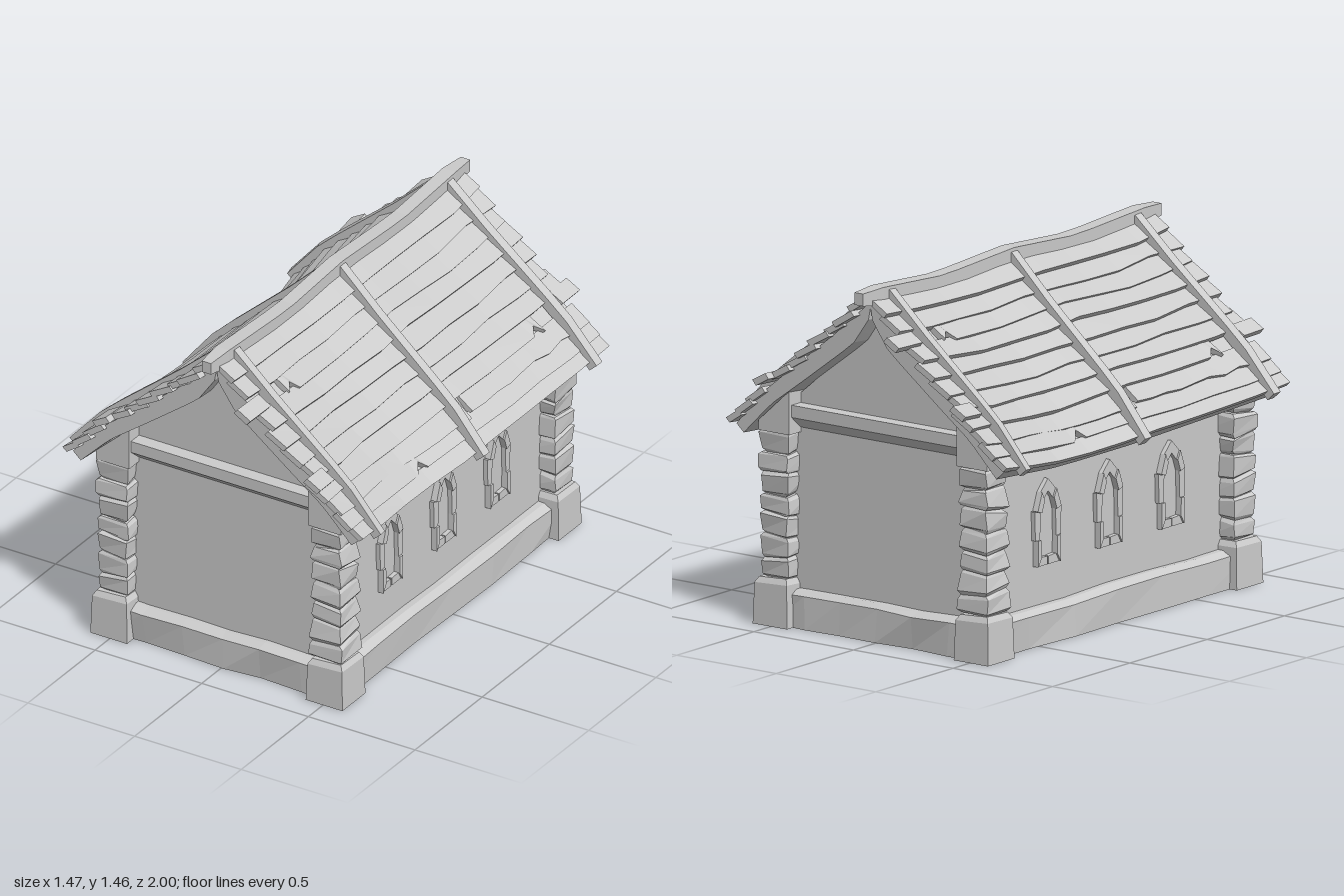
import * as THREE from 'three';

const mat = new THREE.MeshStandardMaterial({ color: 0xcccccc, flatShading: true });

// Seeded noise in -1..1, equal for equal inputs
const noise = (a, b = 0, c = 0) => {
  const s = Math.sin(a * 127.1 + b * 311.7 + c * 74.7 + 3.3) * 43758.5453;
  return (s - Math.floor(s)) * 2 - 1;
};
const { lerp, clamp } = THREE.MathUtils;

function mesh(parent, name, geometry) {
  const m = new THREE.Mesh(geometry, mat);
  m.name = name;
  parent.add(m);
}

// Unit box whose vertices are moved by rule(x, y, z) -> [x, y, z], inputs in -0.5..0.5
function shapedBox(nx, ny, nz, rule) {
  const g = new THREE.BoxGeometry(1, 1, 1, nx, ny, nz);
  const p = g.attributes.position;
  for (let i = 0; i < p.count; i++) p.setXYZ(i, ...rule(p.getX(i), p.getY(i), p.getZ(i)));
  g.computeVertexNormals();
  return g;
}

function extrude(points, depth, z) {
  const shape = new THREE.Shape(points.map(([x, y]) => new THREE.Vector2(x, y)));
  return new THREE.ExtrudeGeometry(shape, { depth, bevelEnabled: false }).translate(0, 0, z);
}

// Piecewise linear lookup; each row is [key, ...values]
function sample(rows, t) {
  let i = 0;
  while (i < rows.length - 2 && t > rows[i + 1][0]) i++;
  const a = rows[i], b = rows[i + 1], k = (t - a[0]) / (b[0] - a[0]);
  return a.slice(1).map((v, j) => lerp(v, b[j + 1], k));
}

// Slope from ridge (u = 0) to eave (u = 1)
const slope = [[0, 0, 1.41], [0.27, 0.19, 1.245], [0.54, 0.39, 1.085], [0.75, 0.545, 0.96], [1, 0.685, 0.805]];
// Sag along z: ridge dy, eave dx, eave dy
const sag = [[-0.93, 0, 0, 0], [-0.45, -0.03, -0.025, -0.025], [0, -0.005, -0.03, -0.04],
  [0.4, -0.03, -0.08, -0.06], [0.93, 0, 0, 0]];
// Thickness of the layer beneath the boards
const underlay = [[0, 0.04], [0.2, 0.085], [0.54, 0.075], [1, 0.055]];

// Point on one roof slope at height h above its surface
function roofPoint(u, h, z) {
  const [x, y] = sample(slope, u);
  const a = sample(slope, Math.max(u - 0.08, 0)), b = sample(slope, Math.min(u + 0.08, 1));
  const dx = b[0] - a[0], dy = b[1] - a[1], l = Math.hypot(dx, dy);
  const [ry, ex, ey] = sample(sag, clamp(z, -0.93, 0.93));
  return [Math.max(0, x - (dy / l) * h + ex * u), y + (dx / l) * h + lerp(ry, ey, u), z];
}

// Board on the roof; an optional notch is cut in its lower edge at z = chip
function plank(i, u0, u1, z0, z1, chip) {
  const n = 9, k = chip === undefined ? -9 : Math.round(((chip - z0) / (z1 - z0)) * n);
  const lift = 0.008 * noise(i, 5);
  return shapedBox(1, 1, n, (a, b, c) => {
    const j = Math.round((c + 0.5) * n);
    let z = lerp(z0, z1, c + 0.5);
    let u = a < 0 ? u0 : u1 + 0.01 * noise(i, j);
    if (Math.abs(j - k) <= 1) {
      z = chip + (j - k) * 0.035;
      if (j === k && a > 0) u -= 0.045;
    }
    const h = (a < 0 ? -0.004 : 0.014) + (b < 0 ? -0.012 : 0.014) + lift;
    return roofPoint(u, h, z);
  });
}

function halfRoof() {
  const g = new THREE.Group();
  g.name = 'roofSlope';
  // Thick underlay that shows as the gable edge and soffit
  mesh(g, 'roofUnderlay', shapedBox(15, 1, 12, (a, b, c) =>
    roofPoint((a + 0.5) * 0.99, b < 0 ? -sample(underlay, a + 0.5)[0] : -0.006, c * 1.78)));
  const count = 11;
  const front = [0.91, 0.9, 0.92, 0.91, 0.93, 0.92, 0.9, 0.95, 0.92, 0.93, 0.91];
  const back = [-0.92, -0.93, -0.91, -0.92, -0.92, -0.9, -0.92, -0.94, -0.91, -0.92, -0.92];
  const chips = { 2: 0.64, 7: -0.65, 9: 0.3 };
  for (let i = 0; i < count; i++) {
    const u0 = i / count, u1 = Math.min((i + 1.2) / count, 1);
    // One course is made of two shorter boards
    if (i === 8) {
      mesh(g, 'roofPlank', plank(i, u0, u1, back[i], -0.09));
      mesh(g, 'roofPlank', plank(i + 20, u0, u1 + 0.012, -0.07, front[i]));
    } else {
      mesh(g, 'roofPlank', plank(i, u0, u1, back[i], front[i], chips[i]));
    }
  }
  // Short loose boards poking out at the gable ends
  for (const [u, z0, z1] of [[0.25, 0.84, 1], [0.66, 0.84, 0.96], [0.67, -0.96, -0.84]]) {
    mesh(g, 'looseBoard', shapedBox(1, 1, 1, (a, b, c) =>
      roofPoint(u + a * 0.075, 0.02 + b * 0.028 + a * 0.012, lerp(z0, z1, c + 0.5))));
  }
  // Battens holding the boards down
  for (const z of [-0.8, 0, 0.79]) {
    mesh(g, 'roofBatten', shapedBox(8, 1, 1, (a, b, c) =>
      roofPoint((a + 0.5) * 1.03, b < 0 ? 0.005 : 0.05, z + c * 0.04)));
  }
  return g;
}

function cornerPillar(seed, side) {
  const g = new THREE.Group();
  g.name = 'cornerPillar';
  // Footing with a chamfered, uneven top
  mesh(g, 'pillarFooting', shapedBox(1, 2, 1, (x, y, z) => {
    const row = Math.round((y + 0.5) * 2), w = [0.172, 0.162, 0.135][row];
    const dy = row ? 0.01 * noise(x, z, seed) : 0;
    return [0.505 + x * w, [0, 0.172, 0.195][row] + dy, side * 0.805 + z * w];
  }));
  // Stack of rough, slanted stones
  const n = 7, step = 0.6 / n;
  for (let i = 0; i < n; i++) {
    mesh(g, 'pillarStone', shapedBox(1, 3, 1, (x, y, z) => {
      const row = Math.round((y + 0.5) * 3), outer = row === 0 || row === 3;
      const w = (outer ? 0.116 : 0.136) + 0.015 * noise(i, row > 1 ? 1 : 0, seed);
      const q = (s) => 0.006 * noise(x + i * 3, z + row * 2, seed + s);
      // Both faces of a joint tilt the same way
      const joint = i + (row > 1 ? 1 : 0);
      const tilt = joint % n ? 0.14 * (x * noise(joint, seed, 7) + z * noise(joint, seed, 8)) * 0.12 : 0;
      return [0.5 + x * w + q(1), 0.193 + step * (i + [0, 0.14, 0.84, 1][row]) + tilt + (outer ? 0 : q(3)),
        side * 0.8 + z * w + q(2)];
    }));
  }
  // Head block running up into the roof
  mesh(g, 'pillarHead', extrude([[0.42, 0.79], [0.575, 0.79], [0.575, 0.83], [0.42, 0.97]], 0.16, side * 0.795 - 0.08));
  return g;
}

function archedWindow() {
  const g = new THREE.Group();
  g.name = 'window';
  // Pairs of outer and inner points up one side of the frame
  const rim = [[[0, 0.312], [0, 0.345]], [[0.072, 0.312], [0.05, 0.348]], [[0.072, 0.42], [0.052, 0.42]],
    [[0.076, 0.54], [0.048, 0.53]], [[0.048, 0.615], [0.03, 0.58]], [[0, 0.663], [0, 0.612]]];
  for (const s of [-1, 1]) {
    for (let i = 0; i < rim.length - 1; i++) {
      const [a, b] = rim[i], [c, d] = rim[i + 1], out = i === 2 ? 0.01 : 0;
      const gap = i === 0 ? 0.003 : 0;
      const pts = [[a[0] + out + gap, a[1]], [c[0] + out, c[1]], d, [b[0] + gap, b[1]]];
      mesh(g, 'windowStone', extrude(pts.map(([x, y]) => [x * s, y]), 0.034 + (i % 2) * 0.008, -0.015));
    }
  }
  return g;
}

// One roof slope, side wall details and one gable
function halfHouse() {
  const g = new THREE.Group();
  g.name = 'halfHouse';
  g.add(halfRoof(), cornerPillar(1, 1), cornerPillar(2, -1));
  for (const z of [-0.4, 0, 0.4]) {
    const w = archedWindow();
    w.rotation.y = Math.PI / 2;
    w.position.set(0.493, 0, z);
    g.add(w);
  }
  // Gable wall and its tie beam with a sloped underside
  mesh(g, 'gableWall', extrude([[-0.49, 0.78], [0.49, 0.78], [0.49, 0.87], [0.42, 0.95], [0.15, 1.18], [0, 1.37],
    [-0.15, 1.18], [-0.42, 0.95], [-0.49, 0.87]], 0.08, 0.72));
  mesh(g, 'tieBeam', extrude([[-0.78, 0.81], [-0.78, 0.91], [-0.86, 0.91], [-0.86, 0.86], [-0.8, 0.81]], 0.88, -0.44)
    .rotateY(Math.PI / 2));
  return g;
}

export function createModel() {
  const model = new THREE.Group();
  model.name = 'stoneHouse';
  const front = halfHouse(), back = halfHouse();
  back.rotation.y = Math.PI;
  model.add(front, back);

  mesh(model, 'walls', new THREE.BoxGeometry(0.986, 0.8, 1.6).translate(0, 0.401, 0));

  // Rough plinth with an uneven bevelled top
  mesh(model, 'plinth', shapedBox(6, 2, 6, (x, y, z) => {
    const row = Math.round((y + 0.5) * 2);
    const k = [0, 0.006, -0.03][row];
    const q = (s) => [0.012, 0.007, 0.004][row] * noise(x * 3, z * 3, row + s);
    const px = x * 1.1 + q(1) + (Math.abs(x) > 0.49 ? Math.sign(x) * k : 0);
    const pz = z * 1.7 + q(2) + (Math.abs(z) > 0.49 ? Math.sign(z) * k : 0);
    return [px, [0, 0.135, 0.153][row] + (row ? 0.005 * noise(x, z, 9) : 0), pz];
  }));

  // Sagging ridge beam with narrowed ends
  mesh(model, 'ridgeBeam', shapedBox(1, 1, 16, (x, y, z) => {
    const pz = z * 1.93, end = Math.abs(z) > 0.49 ? 0.7 : 1;
    const dy = sample(sag, clamp(pz, -0.93, 0.93))[0];
    return [x * 0.062 * end, 1.425 + y * 0.072 * end + dy, pz];
  }));
  return model;
}
